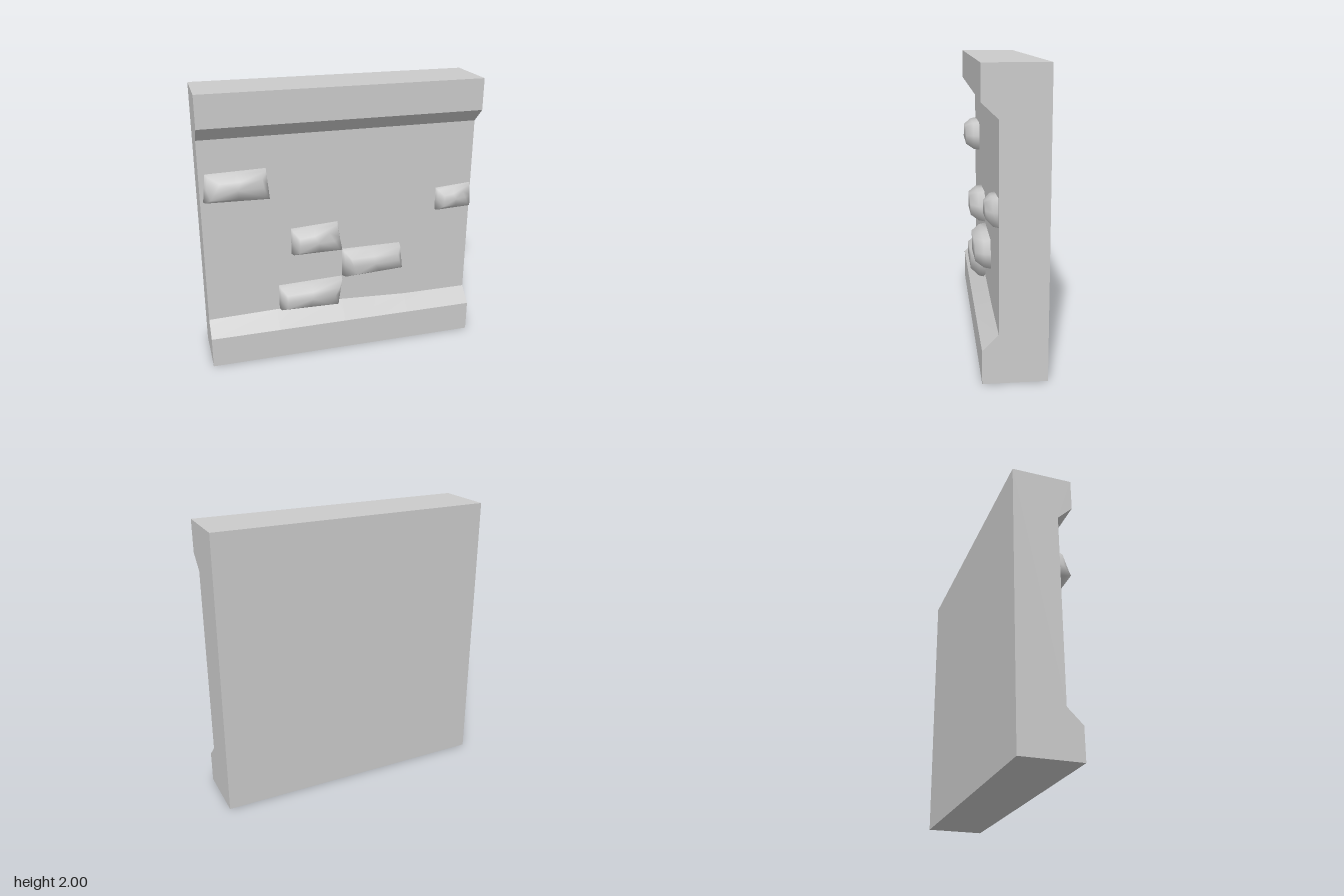
import * as THREE from 'three';
import { toCreasedNormals } from 'three/addons/utils/BufferGeometryUtils.js';

const WALL_Z = 0.105;
const FRONT_Z = 0.21;
const INSET = 0.045;

// Corners run lower left, lower right, upper right, upper left.
// worn is the corner whose front is rubbed away most.
const BRICKS = [
  { corners: [[-0.98, 1.24], [-0.52, 1.23], [-0.54, 1.45], [-0.96, 1.44]], front: FRONT_Z, worn: 3 },
  { corners: [[-0.38, 0.78], [0, 0.78], [-0.03, 1], [-0.38, 0.98]], front: FRONT_Z, worn: 2 },
  { corners: [[0, 0.555], [0.47, 0.575], [0.45, 0.775], [0, 0.775]], front: FRONT_Z, worn: 0 },
  { corners: [[0.72, 1.01], [1, 1.02], [1, 1.205], [0.72, 1.185]], front: 0.18, worn: 2 },
  { corners: [[-0.48, 0.345], [-0.02, 0.335], [0, 0.555], [-0.48, 0.54]], front: FRONT_Z, worn: 1 },
];

// Worn brick: three rings lofted from foot to front face, closed by a fan.
function brickGeometry({ corners, front, worn }) {
  const foot = corners.map(([x, y]) => new THREE.Vector2(x, y));
  const centre = foot.reduce((sum, p) => sum.add(p), new THREE.Vector2()).divideScalar(4);

  // Front corners move inward by a fixed margin, the worn one further along x.
  const face = foot.map((p, i) => new THREE.Vector2(
    p.x + Math.sign(centre.x - p.x) * INSET * (i === worn ? 2 : 1),
    p.y + Math.sign(centre.y - p.y) * INSET));

  const withMidpoints = (points) => points.flatMap((p, i) =>
    [p, p.clone().lerp(points[(i + 1) % points.length], 0.5)]);
  const outer = withMidpoints(foot);
  const inner = withMidpoints(face);

  const n = outer.length;
  const rings = [[0, WALL_Z - 0.01], [0.2, THREE.MathUtils.lerp(WALL_Z, front, 0.45)], [1, front]];
  const positions = rings.flatMap(([t, z]) => outer.flatMap((p, i) => {
    const q = p.clone().lerp(inner[i], t);
    return [q.x, q.y, z];
  }));
  positions.push(centre.x, centre.y, front);

  const index = [];
  for (let i = 0; i < n; i++) {
    const j = (i + 1) % n;
    for (let r = 0; r < rings.length - 1; r++) {
      const a = r * n + i, b = r * n + j;
      index.push(a, b, b + n, a, b + n, a + n);
    }
    index.push(2 * n + i, 2 * n + j, 3 * n);
  }
  const geometry = new THREE.BufferGeometry();
  geometry.setAttribute('position', new THREE.Float32BufferAttribute(positions, 3));
  geometry.setIndex(index);
  geometry.computeVertexNormals();
  return geometry;
}

// Wall section with projecting foot and cap, drawn as (z, y) and swept along x.
function wallGeometry() {
  const profile = new THREE.Shape([
    [-0.21, 0], [0.21, 0], [0.21, 0.225], [WALL_Z, 0.33],
    [WALL_Z, 1.675], [0.21, 1.775], [0.21, 2], [-0.21, 2],
  ].map(([z, y]) => new THREE.Vector2(z, y)));
  const geometry = new THREE.ExtrudeGeometry(profile, { depth: 2, steps: 4, bevelEnabled: false });
  geometry.rotateY(-Math.PI / 2).translate(1, 0, 0);

  // The top of the foot's slope rises slightly toward the middle.
  const p = geometry.attributes.position;
  for (let i = 0; i < p.count; i++) {
    if (Math.abs(p.getY(i) - 0.33) > 0.001) continue;
    const x = p.getX(i);
    p.setY(i, 0.33 + 0.025 * Math.max(0, 1 - Math.abs(x) / (x < 0 ? 1 : 0.5)));
  }
  return toCreasedNormals(geometry, 0.4);
}

export function createModel() {
  const model = new THREE.Group();
  model.name = 'wallPanel';
  const material = new THREE.MeshStandardMaterial({ color: 0xcccccc });

  const wall = new THREE.Mesh(wallGeometry(), material);
  wall.name = 'wall';
  model.add(wall);

  BRICKS.forEach((spec, i) => {
    const brick = new THREE.Mesh(brickGeometry(spec), material);
    brick.name = `brick${i + 1}`;
    model.add(brick);
  });
  return model;
}
